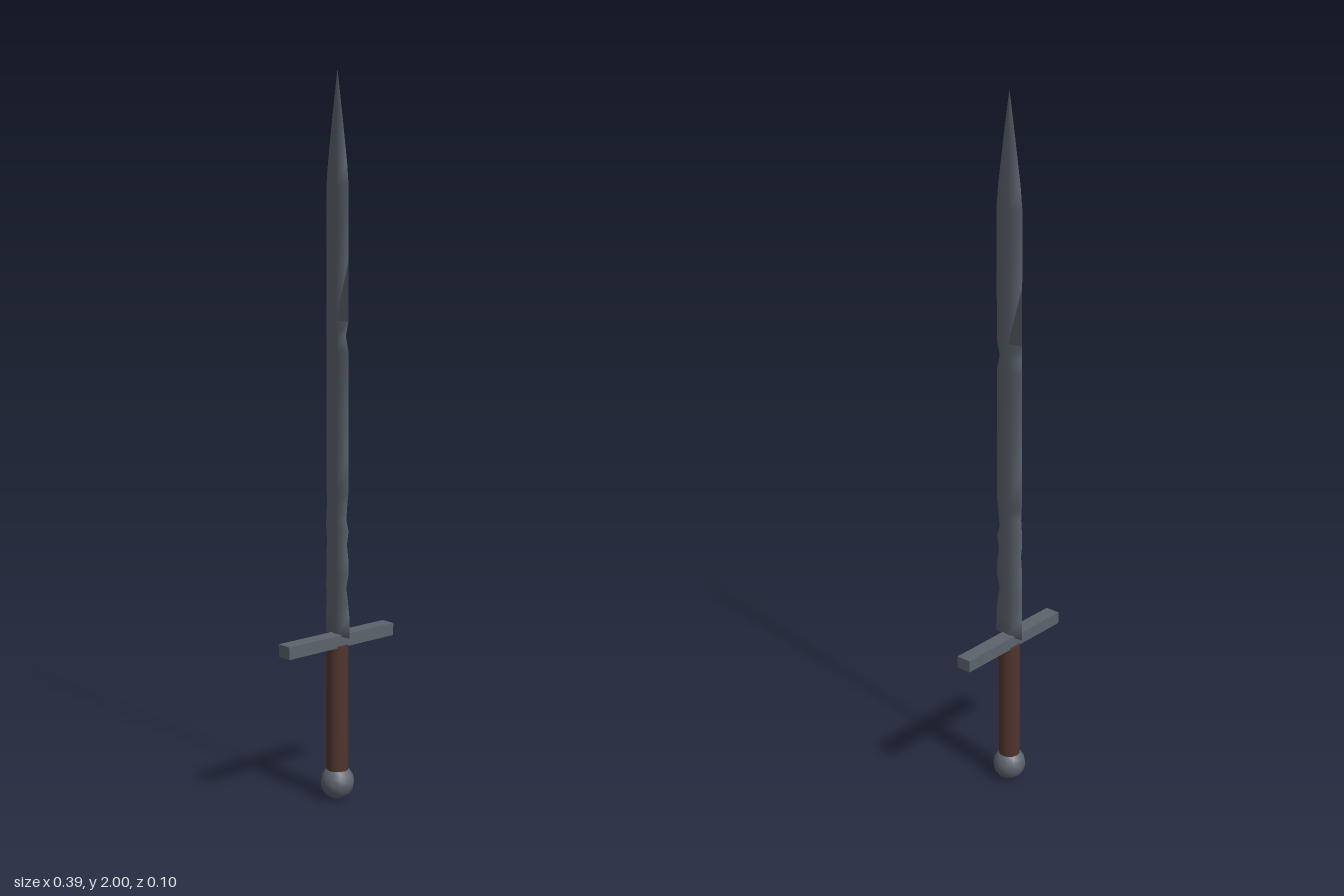
import * as THREE from 'three';

export function createModel() {
  const sword = new THREE.Group();
  const steel = new THREE.MeshStandardMaterial({ name: 'dark steel', color: 0x5c636c });
  const leather = new THREE.MeshStandardMaterial({ name: 'brown leather', color: 0x50352d });

  const add = (name, geometry, material, y) => {
    const mesh = new THREE.Mesh(geometry, material);
    mesh.name = name;
    mesh.position.y = y;
    sword.add(mesh);
  };

  add('pommel', new THREE.SphereGeometry(0.048, 12, 8), steel, 0.048);
  add('grip', new THREE.CylinderGeometry(0.031, 0.031, 0.36, 12), leather, 0.265);
  add('crossguard', new THREE.BoxGeometry(0.386, 0.035, 0.044), steel, 0.4575);

  // Blade levels: height, front edge, back edge, half thickness; worn edges have shallow nicks
  const levels = [
    [0.47, 0.05, 0.048, 0.007], [0.53, 0.049, 0.047, 0.006], [0.58, 0.042, 0.046, 0.005],
    [0.61, 0.036, 0.047, 0.005], [0.65, 0.046, 0.046, 0.005], [0.69, 0.045, 0.046, 0.005],
    [0.73, 0.039, 0.043, 0.005], [0.77, 0.045, 0.047, 0.005], [0.8, 0.036, 0.046, 0.005],
    [0.84, 0.04, 0.043, 0.005], [0.88, 0.045, 0.045, 0.005], [1.0, 0.044, 0.045, 0.005],
    [1.1, 0.044, 0.044, 0.005], [1.26, 0.044, 0.044, 0.005], [1.3, 0.034, 0.044, 0.005],
    [1.34, 0.044, 0.044, 0.005], [1.5, 0.044, 0.044, 0.005], [1.7, 0.044, 0.044, 0.005],
    [1.76, 0.038, 0.038, 0.005], [1.88, 0.02, 0.02, 0.004], [2.0, 0.0005, 0.0005, 0.0005],
  ];
  const points = [];
  const faces = [];
  levels.forEach(([y, front, back, t], i) => {
    // Diamond section, anticlockwise as seen from the tip
    points.push(0, y, front, t, y, 0, 0, y, -back, -t, y, 0);
    if (i === 0) return;
    for (let k = 0; k < 4; k++) {
      const a = (i - 1) * 4 + k;
      const b = (i - 1) * 4 + (k + 1) % 4;
      faces.push(a, b, b + 4, a, b + 4, a + 4);
    }
  });
  const end = (levels.length - 1) * 4;
  faces.push(end, end + 1, end + 2, end, end + 2, end + 3);
  faces.push(0, 2, 1, 0, 3, 2);
  const blade = new THREE.BufferGeometry();
  blade.setAttribute('position', new THREE.Float32BufferAttribute(points, 3));
  blade.setIndex(faces);
  blade.computeVertexNormals();
  add('blade', blade, steel, 0);

  return sword;
}
